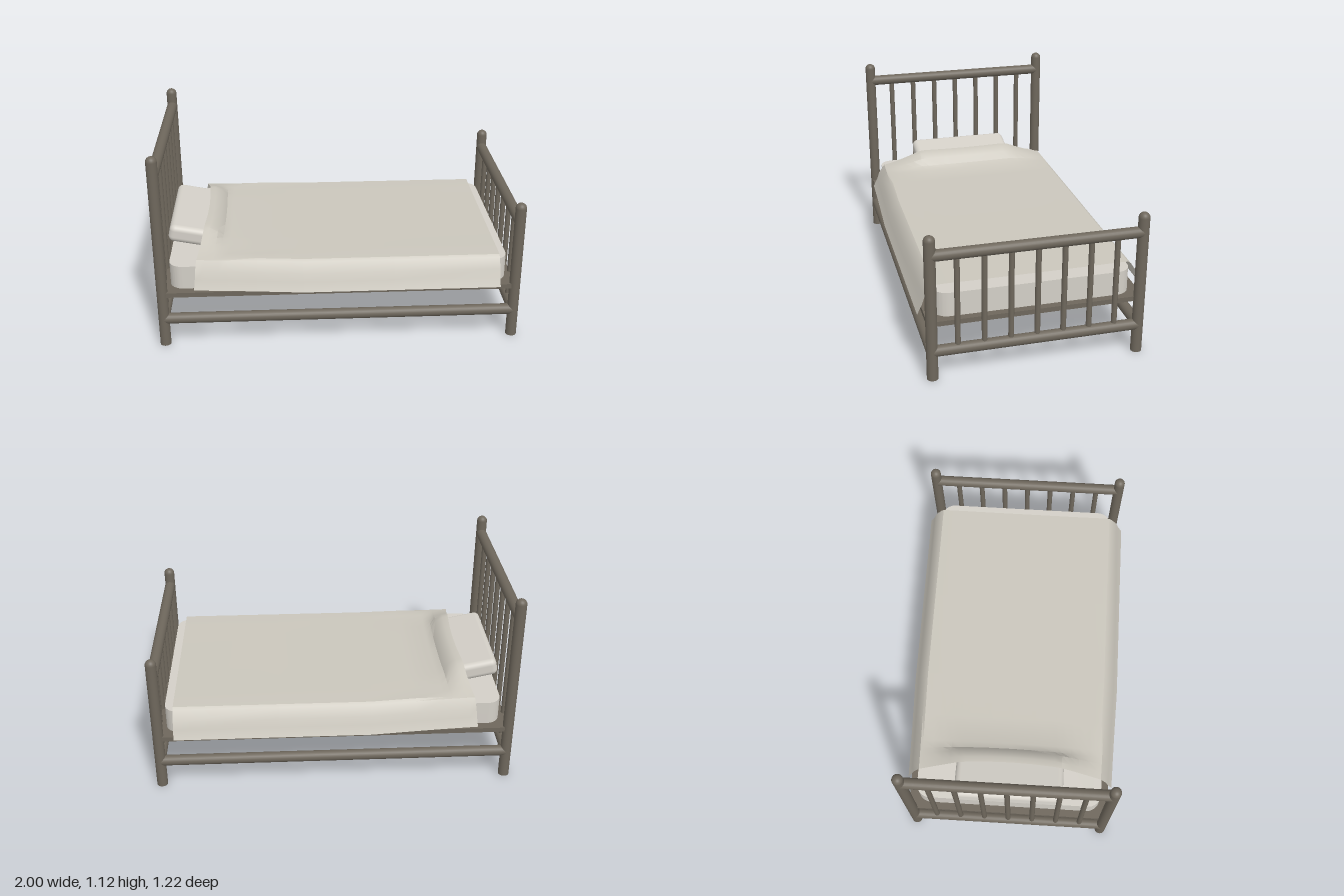
import * as THREE from 'three';
import { toCreasedNormals } from 'three/addons/utils/BufferGeometryUtils.js';
import { RoundedBoxGeometry } from 'three/addons/geometries/RoundedBoxGeometry.js';

const R = 0.03, POST_X = 0.97, POST_Z = 0.555, RAIL_Y = 0.16;

const frame = new THREE.MeshStandardMaterial({ color: 0x6e675c });
frame.name = 'frame';
const linen = new THREE.MeshStandardMaterial({ color: 0xd3cfc7 });
linen.name = 'linen';
const cover = new THREE.MeshStandardMaterial({ color: 0xcac6bc, side: THREE.DoubleSide });
cover.name = 'cover';

function add(parent, name, geometry, material, x = 0, y = 0, z = 0) {
  const mesh = new THREE.Mesh(geometry, material);
  mesh.name = name;
  mesh.position.set(x, y, z);
  parent.add(mesh);
  return mesh;
}

// Upright post with a domed tip
function addPost(parent, z, height) {
  add(parent, 'post', new THREE.CylinderGeometry(R, R, height - R, 24), frame, 0, (height - R) / 2, z);
  add(parent, 'postDome', new THREE.SphereGeometry(R, 24, 8, 0, Math.PI * 2, 0, Math.PI / 2), frame, 0, height - R, z);
}

// Headboard or footboard: two posts, two rails, seven spindles
function makeEndBoard(name, x, height, topRailY) {
  const board = new THREE.Group();
  board.name = name;
  board.position.x = x;
  for (const s of [-1, 1]) addPost(board, s * POST_Z, height);
  for (const y of [RAIL_Y, topRailY]) {
    add(board, 'crossRail', new THREE.CylinderGeometry(R, R, POST_Z * 2, 24), frame, 0, y).rotation.x = Math.PI / 2;
  }
  const length = topRailY - RAIL_Y;
  for (let i = -3; i <= 3; i++) {
    add(board, 'spindle', new THREE.CylinderGeometry(0.015, 0.015, length, 16), frame, 0, RAIL_Y + length / 2, i * 0.14);
  }
  return board;
}

// Mattress outline with rounded corners, extruded upward
function mattressGeometry() {
  const a = 0.93, b = 0.525, r = 0.075;
  const s = new THREE.Shape();
  s.absarc(a - r, b - r, r, 0, Math.PI / 2);
  s.absarc(-a + r, b - r, r, Math.PI / 2, Math.PI);
  s.absarc(-a + r, -b + r, r, Math.PI, Math.PI * 1.5);
  s.absarc(a - r, -b + r, r, Math.PI * 1.5, Math.PI * 2);
  const g = new THREE.ExtrudeGeometry(s, { depth: 0.135, bevelEnabled: false, curveSegments: 8 });
  g.rotateX(-Math.PI / 2);
  return toCreasedNormals(g, 0.6);
}

// Draped cover: a cross-section swept along the bed, raised over the pillow
function coverGeometry() {
  const half = [[0.61, 0.33], [0.585, 0.38], [0.57, 0.425], [0.535, 0.477], [0.52, 0.488],
    [0.46, 0.49], [0.4, 0.49], [0.35, 0.49], [0.3, 0.49], [0.26, 0.49], [0.13, 0.49]];
  const section = [...half.map(([z, y]) => [-z, y]), [0, 0.49], ...half.slice().reverse()];
  // Position along the bed and rise above the flat top
  const rows = [[-0.73, 0.09], [-0.7, 0.087], [-0.66, 0.062], [-0.635, 0.022], [-0.6, 0.004],
    [-0.45, 0.002], [-0.2, 0], [0.3, 0], [0.88, -0.002]];
  const pos = [], index = [], n = section.length;
  rows.forEach(([x, rise], i) => {
    const head = THREE.MathUtils.clamp((-0.2 - x) / 0.53, 0, 1);
    for (const [z, y] of section) {
      const w = Math.abs(z);
      const bump = rise * Math.pow(THREE.MathUtils.clamp((0.53 - w) / 0.24, 0, 1), 1.15);
      const sweep = i < 5 ? 0.06 * Math.pow(w / 0.6, 2) * (1 - i / 5) : 0;
      const lift = w > 0.5 ? 0.02 * head : 0.006 * head;
      pos.push(x - sweep, Math.min(y + lift, 0.497) + bump, z * (1 - 0.03 * head));
    }
  });
  for (let i = 0; i < rows.length - 1; i++) {
    for (let j = 0; j < n - 1; j++) {
      const a = i * n + j, c = a + n;
      index.push(a, a + 1, c, a + 1, c + 1, c);
    }
  }
  const g = new THREE.BufferGeometry();
  g.setAttribute('position', new THREE.Float32BufferAttribute(pos, 3));
  g.setIndex(index);
  return toCreasedNormals(g, 0.5);
}

export function createModel() {
  const bed = new THREE.Group();
  bed.name = 'bed';

  // Frame
  bed.add(makeEndBoard('headboard', -POST_X, 1.12, 1.01));
  bed.add(makeEndBoard('footboard', POST_X, 0.81, 0.7));
  for (const s of [-1, 1]) {
    add(bed, 'sideRail', new THREE.CylinderGeometry(R, R, POST_X * 2, 24), frame, 0, RAIL_Y, s * POST_Z).rotation.z = Math.PI / 2;
  }
  add(bed, 'baseBoard', new THREE.BoxGeometry(POST_X * 2, 0.027, 1.15), frame, 0, 0.3135, 0);

  // Bedding
  add(bed, 'mattress', mattressGeometry(), linen, 0, 0.326, 0);
  add(bed, 'pillow', new RoundedBoxGeometry(0.28, 0.1, 0.61, 4, 0.032), linen, -0.805, 0.525, 0).rotation.z = -0.2;
  add(bed, 'cover', coverGeometry(), cover);
  return bed;
}
